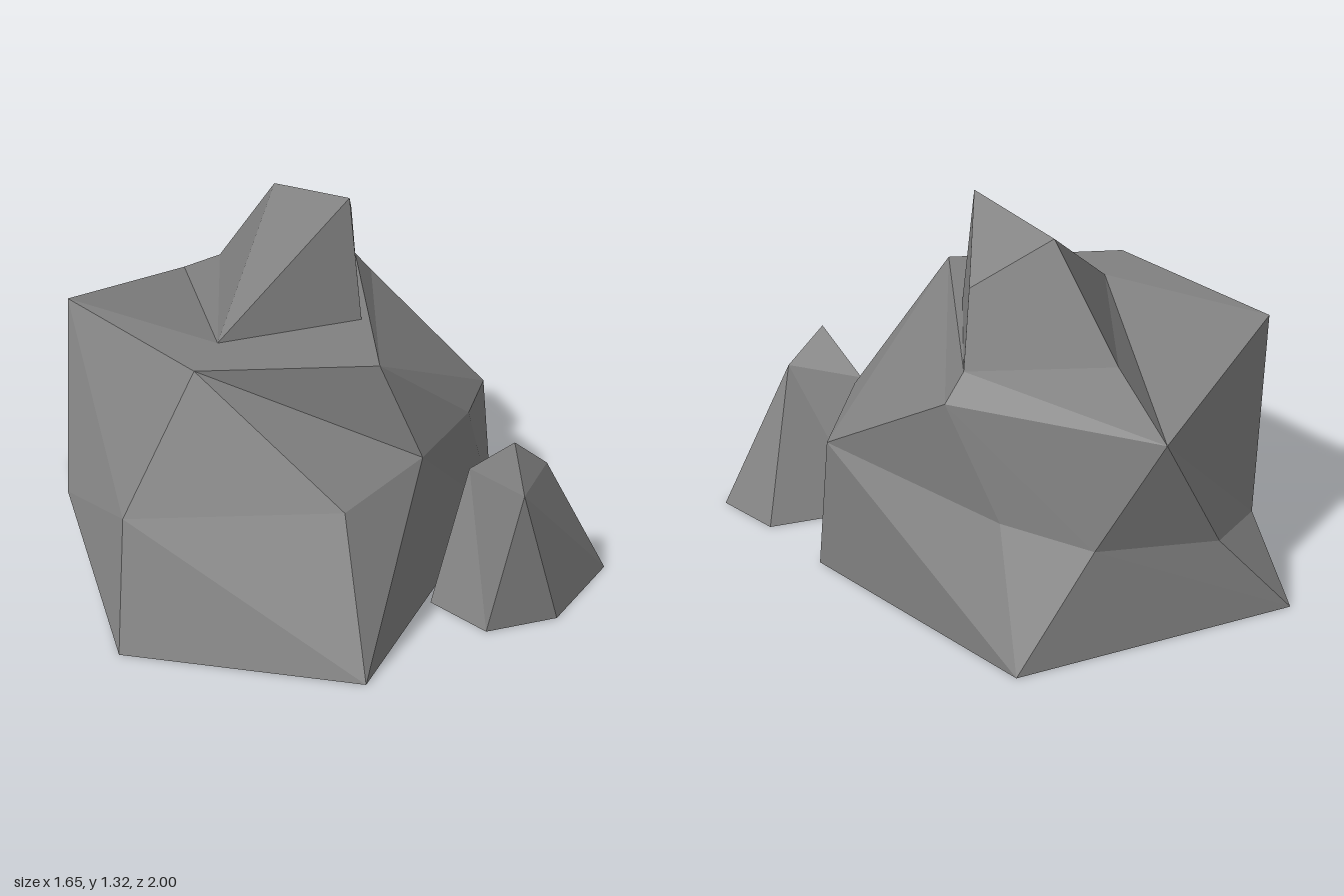
import * as THREE from 'three';

const stone = new THREE.MeshStandardMaterial({ color: 0x808080, flatShading: true, side: THREE.DoubleSide });
stone.name = 'grey stone';

// Builds a faceted shell from named corners and faces, turned outward from a core point
function facetedRock(name, corners, faces, core) {
  const centre = new THREE.Vector3(...core);
  const positions = [];
  for (const face of faces) {
    const pts = face.split(' ').map((key) => new THREE.Vector3(...corners[key]));
    for (let i = 1; i < pts.length - 1; i++) {
      const tri = new THREE.Triangle(pts[0], pts[i], pts[i + 1]);
      const normal = tri.getNormal(new THREE.Vector3());
      const outward = tri.getMidpoint(new THREE.Vector3()).sub(centre);
      const order = normal.dot(outward) < 0 ? [tri.a, tri.c, tri.b] : [tri.a, tri.b, tri.c];
      order.forEach((p) => positions.push(p.x, p.y, p.z));
    }
  }
  const geometry = new THREE.BufferGeometry();
  geometry.setAttribute('position', new THREE.Float32BufferAttribute(positions, 3));
  geometry.computeVertexNormals();
  const mesh = new THREE.Mesh(geometry, stone);
  mesh.name = name;
  return mesh;
}

export function createModel() {
  const model = new THREE.Group();
  model.name = 'rockFormation';

  // Corners shared by the boulder and the peak on its plateau
  const plateau = {
    q: [-0.21, 0.89, -0.04], r: [0.275, 0.89, 0.165],
    t4: [0.65, 0.89, -0.24], p: [0.28, 0.89, -0.57],
  };

  // Large boulder: ground ring, uneven middle ring, plateau
  const boulder = {
    ...plateau,
    A: [-0.83, 0, 0.14], B: [-0.35, 0, 0.83], C: [0.81, 0, 0.34],
    D: [0.825, 0, -0.65], E: [-0.12, 0, -1],
    m1: [-0.705, 0.43, 0.03], m2: [-0.21, 0.49, 0.58], m3: [0.17, 0.55, 0.57],
    m4: [0.52, 0.55, 0.46], m5: [0.81, 0.5, 0.27], m6: [0.68, 0.42, -0.43],
    m7: [0.52, 0.36, -0.7], m8: [0.095, 0.29, -0.86], m9: [-0.14, 0.28, -0.8],
    m10: [-0.66, 0.37, -0.32],
    u1: [0.73, 0.8, -0.235], u2: [0.34, 0.73, -0.84],
    t1: [-0.36, 0.89, -0.66], t2: [-0.405, 0.89, 0.06], t3: [0.07, 0.89, 0.455],
  };
  model.add(facetedRock('boulder', boulder, [
    // lower sides
    'm1 A B m2', 'm2 B m3', 'C B m3 m4 m5', 'm5 C D m6', 'm6 D m7',
    'm7 D E m8', 'm8 E m9', 'm9 E A m10', 'm10 A m1',
    // upper sides
    't2 m1 m2', 't2 m2 m3 t3', 't3 m3 m4', 't3 m4 m5 u1 t4', 'u1 m5 m6',
    'u1 m6 m7 u2', 'u2 m7 m8', 'u2 m8 m9 t1', 't1 m9 m10', 't1 m10 m1 t2',
    // plateau and back slope
    't1 t2 q', 't2 t3 r q', 't3 t4 r', 't1 q u2', 'q p u2', 'p t4 u2', 't4 u1 u2',
  ], [0.05, 0.3, -0.1]));

  // Peak rising from the plateau
  const peak = {
    ...plateau,
    a: [0.287, 1.316, 0.085], b: [0.55, 1.125, -0.165], c: [0.29, 1.255, -0.29],
  };
  model.add(facetedRock('peak', peak, [
    'q r a', 'a r t4 b', 'b t4 p c', 'c p q', 'q a c', 'a b c',
  ], [0.28, 0.95, -0.15]));

  // Small stone standing in front
  const small = {
    s0: [0.17, 0, 0.89], s1: [0.41, 0, 1], s2: [0.785, 0, 0.9],
    s3: [0.78, 0, 0.65], s4: [0.46, 0, 0.49], s5: [0.165, 0, 0.635],
    a: [0.29, 0.5, 0.925], b: [0.525, 0.495, 0.82], c: [0.355, 0.455, 0.62],
    top: [0.385, 0.615, 0.79],
  };
  model.add(facetedRock('smallStone', small, [
    'top a b', 'top b c', 'top c a',
    'a s0 s1', 'a s1 s2 b', 'b s2 s3', 'b s3 s4 c', 'c s4 s5', 'c s5 s0 a',
  ], [0.42, 0.2, 0.76]));

  return model;
}
